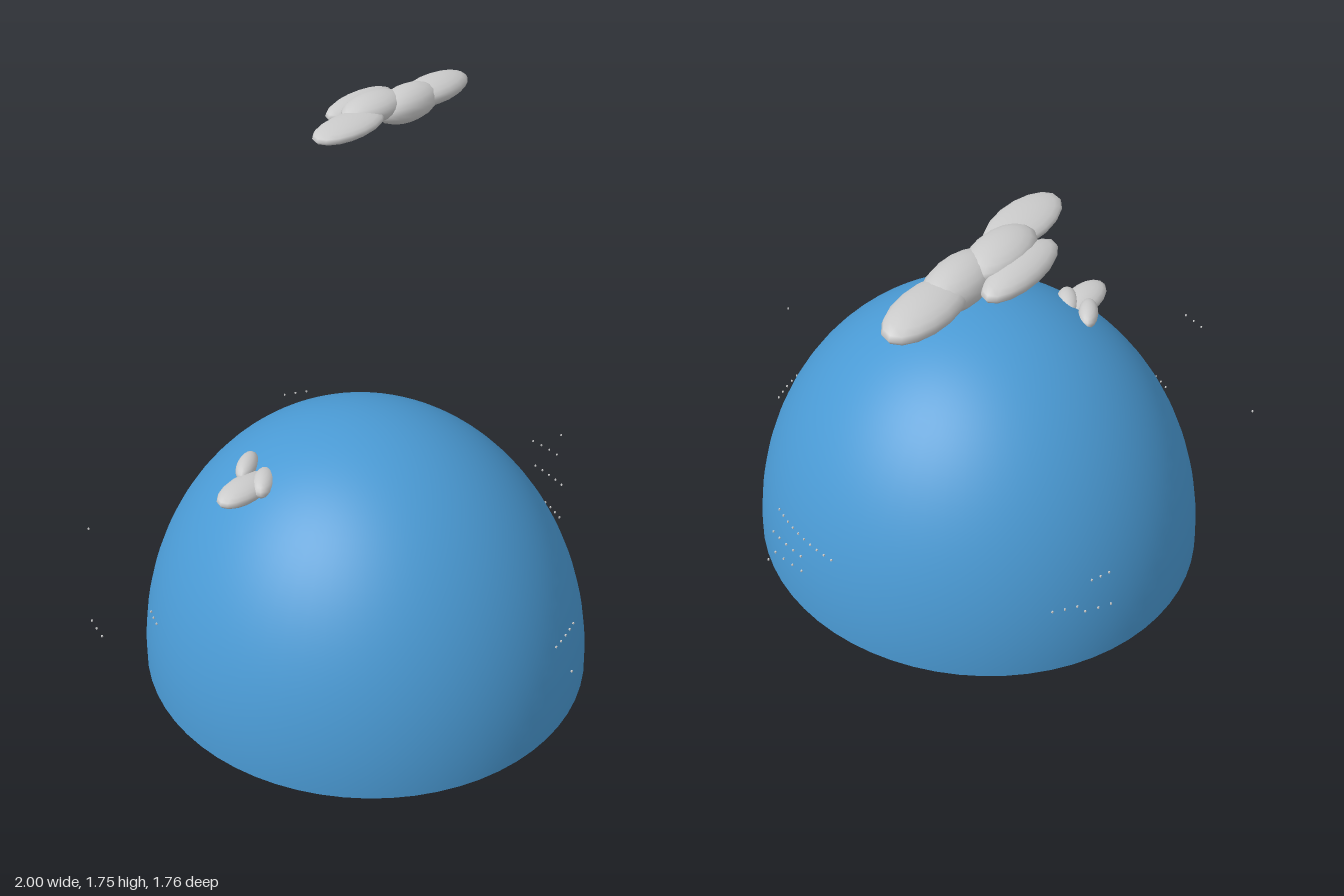
import * as THREE from 'three';

const CX = -0.085, CZ = -0.065; // shared centre of dome, rings and specks

export function createModel() {
  const model = new THREE.Group();
  const grey = new THREE.MeshStandardMaterial({ color: 0xcccccc });
  const blue = new THREE.MeshStandardMaterial({ color: 0x4a9ad4, side: THREE.DoubleSide });
  const tan = new THREE.MeshStandardMaterial({ color: 0xb28c5a });

  const add = (parent, name, geometry, material, x, y, z) => {
    const mesh = new THREE.Mesh(geometry, material);
    mesh.name = name;
    mesh.position.set(x, y, z);
    parent.add(mesh);
    return mesh;
  };

  // Hollow sky dome, open underneath
  const dome = add(model, 'skyDome',
    new THREE.SphereGeometry(1, 64, 32, 0, Math.PI * 2, 0, Math.PI / 2), blue, CX, 0, CZ);
  dome.scale.set(0.755, 0.93, 0.787);

  // Stepped rings inside the dome, wider as they rise
  const rings = new THREE.Group();
  rings.name = 'tierRings';
  for (let i = 0; i < 4; i++) {
    const ring = add(rings, 'tierRing',
      new THREE.TorusGeometry(0.49 + i * 0.055, 0.022, 10, 72), tan, CX, 0.18 + i * 0.03, CZ);
    ring.rotation.x = Math.PI / 2;
  }
  model.add(rings);

  // Short arcs of tiny specks: [radius, height, start angle, count], angle from +x towards +z
  const specks = new THREE.Group();
  specks.name = 'specks';
  const speck = new THREE.BoxGeometry(0.005, 0.006, 0.005);
  const arcs = [
    [0.75, 0.34, 0.1, 10], [0.76, 0.34, 1.3, 5], [0.75, 0.34, 3.6, 3], [0.75, 0.34, 5.1, 3],
    [0.83, 0.38, 0.17, 5], [0.9, 0.42, 0.08, 4], [0.9, 0.42, 5.35, 3],
    [0.96, 0.46, 0.17, 1], [0.94, 0.46, 1.69, 1], [0.97, 0.46, 3.47, 3],
    [0.95, 0.46, 4.08, 1], [0.96, 0.46, 5.26, 3]
  ];
  for (const [r, y, start, count] of arcs) {
    for (let i = 0; i < count; i++) {
      const a = start + i * 0.045;
      add(specks, 'speck', speck, grey, CX + r * Math.cos(a), y, CZ + r * Math.sin(a));
    }
  }
  model.add(specks);

  // Clouds of flattened puffs: [x, y, z, rx, ry, rz, turn]
  const puff = new THREE.SphereGeometry(1, 16, 10);
  const cloud = (name, puffs) => {
    const group = new THREE.Group();
    group.name = name;
    for (const [x, y, z, rx, ry, rz, turn = 0] of puffs) {
      const lobe = add(group, 'cloudPuff', puff, grey, x, y, z);
      lobe.scale.set(rx, ry, rz);
      lobe.rotation.y = turn;
    }
    model.add(group);
  };
  cloud('highCloud', [
    [0.37, 1.695, -0.5, 0.162, 0.03, 0.078],
    [0.535, 1.7, -0.535, 0.14, 0.046, 0.078],
    [0.555, 1.685, -0.61, 0.163, 0.036, 0.063],
    [0.68, 1.678, -0.5, 0.15, 0.06, 0.078],
    [0.83, 1.682, -0.5, 0.165, 0.042, 0.08]
  ]);
  cloud('lowCloud', [
    [-0.475, 0.803, -0.235, 0.113, 0.034, 0.06],
    [-0.415, 0.812, -0.205, 0.075, 0.035, 0.038, 0.6],
    [-0.39, 0.82, -0.302, 0.075, 0.032, 0.034, 0.5]
  ]);

  return model;
}
